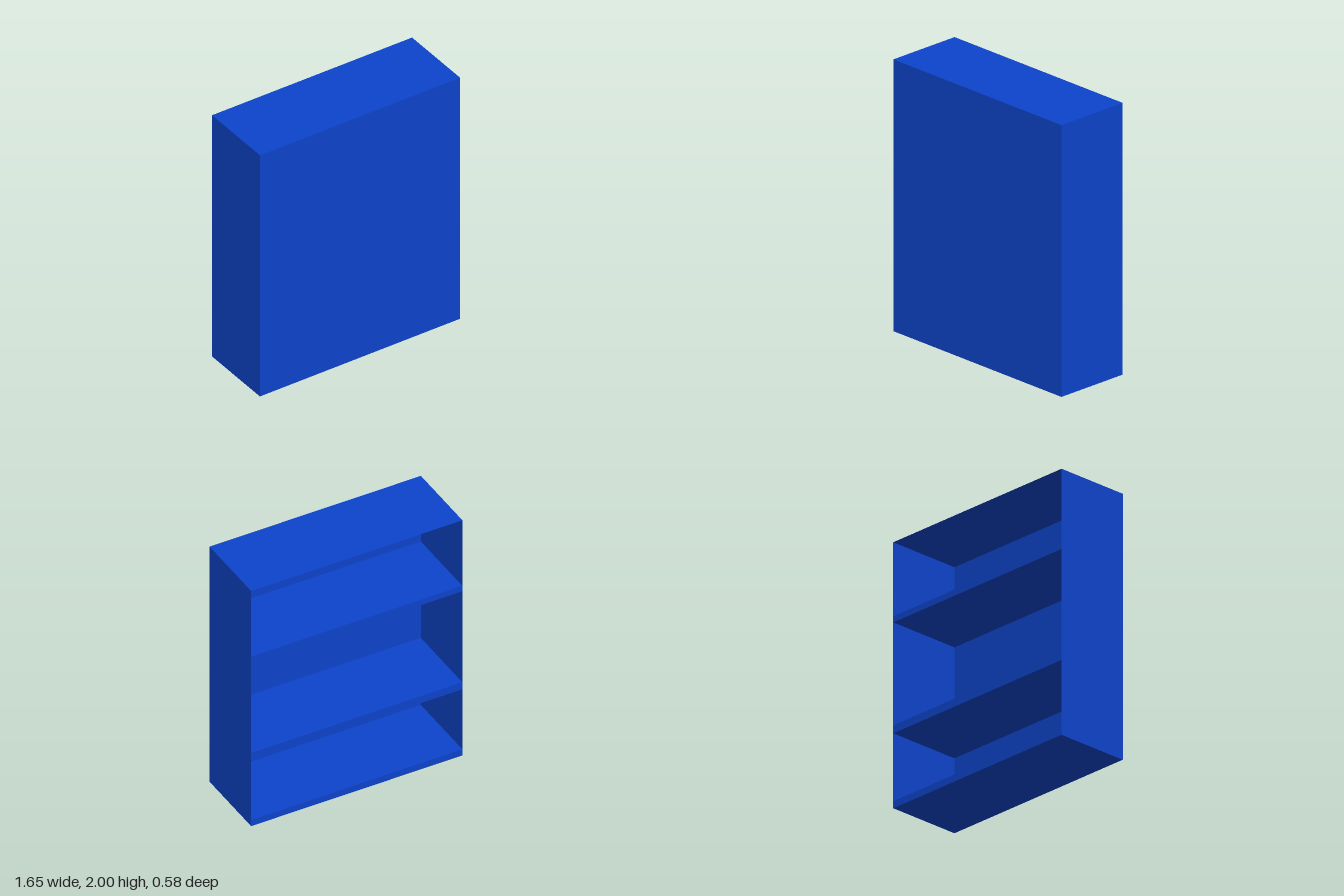
import * as THREE from 'three';

const W = 1.65, H = 2, D = 0.58;

export function createModel() {
  const group = new THREE.Group();
  const material = new THREE.MeshStandardMaterial({ color: 0x0d44cc, side: THREE.DoubleSide });

  const add = (name, geometry, x, y, z) => {
    const mesh = new THREE.Mesh(geometry, material);
    mesh.name = name;
    mesh.position.set(x, y, z);
    group.add(mesh);
    return mesh;
  };

  // Thin sheet shell, open towards -z
  add('frontPanel', new THREE.PlaneGeometry(W, H), 0, H / 2, D / 2);
  add('topPanel', new THREE.PlaneGeometry(W, D), 0, H, 0).rotation.x = -Math.PI / 2;
  for (const [name, s] of [['leftSide', 1], ['rightSide', -1]]) {
    add(name, new THREE.PlaneGeometry(D, H), s * W / 2, H / 2, 0).rotation.y = s * Math.PI / 2;
  }

  // Boards across the full width: name, underside, upper side
  const boards = [
    ['bottomBoard', 0, 0.053],
    ['lowerShelf', 0.563, 0.623],
    ['upperShelf', 1.397, 1.443],
  ];
  const gap = 0.001; // keeps board ends just inside the shell
  for (const [name, y0, y1] of boards) {
    add(name, new THREE.BoxGeometry(W - 2 * gap, y1 - y0, D - gap), 0, (y0 + y1) / 2, -gap / 2);
  }

  return group;
}
